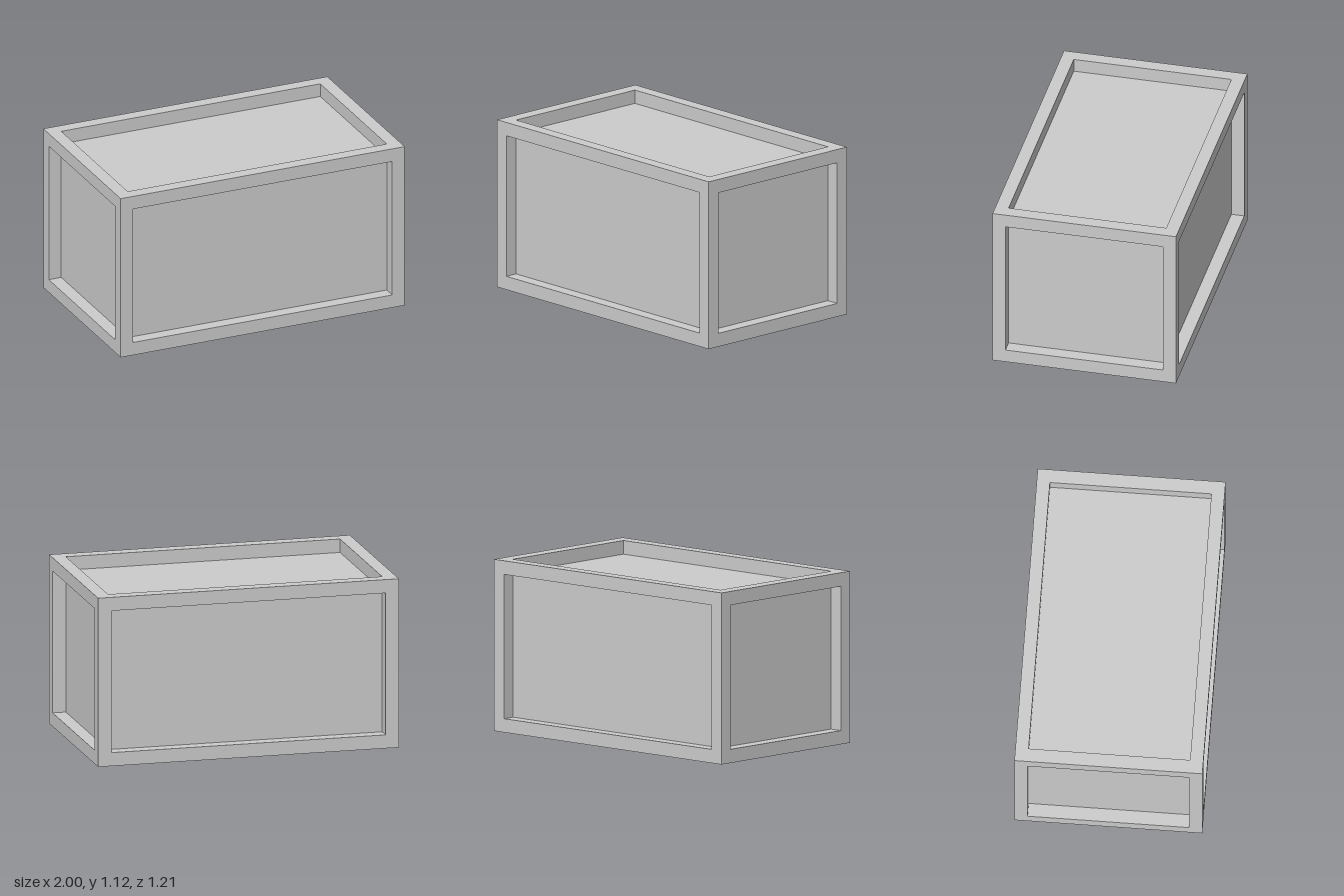
import * as THREE from 'three';

// Overall size and frame beam thickness along each axis
const W = 2, H = 1.116, D = 1.21;
const TX = 0.088, TY = 0.089, TZ = 0.085;

export function createModel() {
  const model = new THREE.Group();
  model.name = 'crate';
  const material = new THREE.MeshStandardMaterial({ color: 0xcccccc });

  const addBox = (name, parent, w, h, d, x, y, z) => {
    const mesh = new THREE.Mesh(new THREE.BoxGeometry(w, h, d), material);
    mesh.name = name;
    mesh.position.set(x, y, z);
    parent.add(mesh);
  };

  // Inner body whose six faces are the recessed panels
  addBox('panelBody', model, W - 2 * TX, H - 2 * TY, D - 2 * TZ, 0, H / 2, 0);

  // Twelve beams along the edges, butted so none overlap
  const frame = new THREE.Group();
  frame.name = 'frame';
  model.add(frame);
  const px = (W - TX) / 2, py = (H - TY) / 2, pz = (D - TZ) / 2;
  for (const a of [-1, 1]) {
    for (const b of [-1, 1]) {
      addBox('lengthBeam', frame, W, TY, TZ, 0, H / 2 + a * py, b * pz);
      addBox('cornerPost', frame, TX, H - 2 * TY, TZ, a * px, H / 2, b * pz);
      addBox('depthBeam', frame, TX, TY, D - 2 * TZ, a * px, H / 2 + b * py, 0);
    }
  }
  return model;
}
